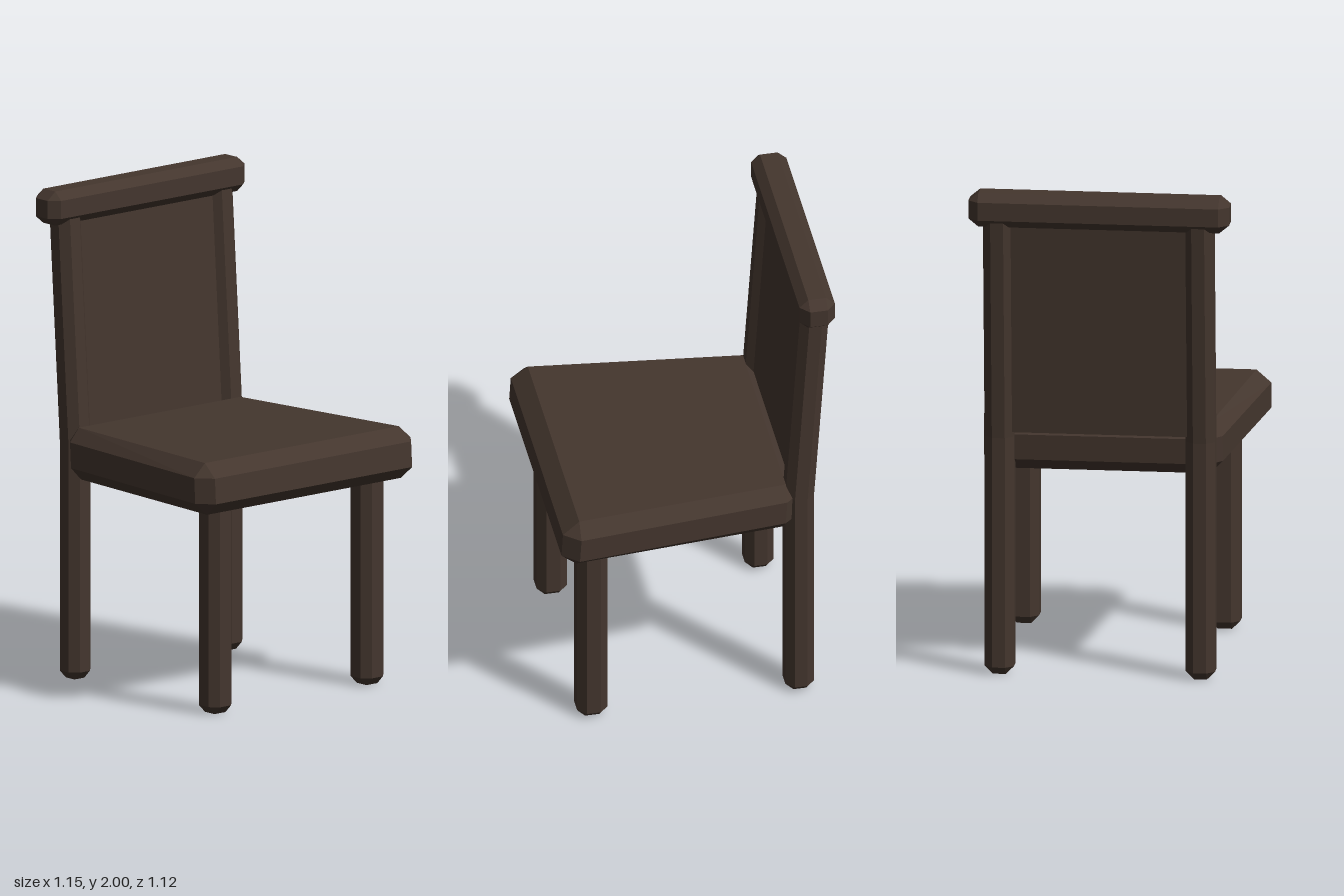
import * as THREE from 'three';
import { ConvexGeometry } from 'three/addons/geometries/ConvexGeometry.js';

const wood = new THREE.MeshStandardMaterial({ name: 'dark wood', color: 0x44362e });

const V = (x, y, z) => new THREE.Vector3(x, y, z);

// Flat-faced solid around a set of points
function solid(name, points) {
  const mesh = new THREE.Mesh(new ConvexGeometry(points), wood);
  mesh.name = name;
  return mesh;
}

// Corner points of a box with chamfered edges, centred on the origin
function chamferedBox(hx, hy, hz, cx, cy = cx, cz = cx) {
  const points = [];
  for (const x of [-1, 1]) for (const y of [-1, 1]) for (const z of [-1, 1]) {
    points.push(
      V(x * hx, y * (hy - cy), z * (hz - cz)),
      V(x * (hx - cx), y * hy, z * (hz - cz)),
      V(x * (hx - cx), y * (hy - cy), z * hz),
    );
  }
  return points;
}

// Octagonal leg section: a square of half size h with corners cut by c
function section(x, y, z, h, c) {
  const points = [];
  for (const a of [-1, 1]) for (const b of [-1, 1]) {
    points.push(V(x + a * h, y, z + b * (h - c)), V(x + a * (h - c), y, z + b * h));
  }
  return points;
}

// Leg bottom: small square foot widening to the full section
function foot(x, z, h, c) {
  const square = [];
  for (const a of [-1, 1]) for (const b of [-1, 1]) {
    square.push(V(x + a * (h - c), 0, z + b * (h - c)));
  }
  return [...square, ...section(x, c, z, h, c)];
}

export function createModel() {
  const chair = new THREE.Group();
  chair.name = 'chair';

  // Seat: chamfered slab, narrower and slightly lower at the back
  const seatPoints = chamferedBox(0.53, 0.105, 0.495, 0.055, 0.053, 0.065);
  for (const p of seatPoints) {
    const t = p.z;
    p.x *= 1 + 0.22 * (t - 0.43) / 1.05 + 0.088;
    p.z += 0.062 + p.y * -0.06;
    p.y += 0.938 + t * 0.012;
  }
  chair.add(solid('seat', seatPoints));

  const half = 0.062, cut = 0.033;
  const bendY = 0.98, topY = 1.89, backZ = -0.431, topZ = -0.492;
  for (const [side, x] of [['left', 0.409], ['right', -0.401]]) {
    // Front leg
    chair.add(solid(side + 'FrontLeg', [
      ...foot(x, 0.417, half, cut), ...section(x, 0.9, 0.417, half, cut),
    ]));

    // Back leg, straight to the seat and then leaning back
    const backLeg = new THREE.Group();
    backLeg.name = side + 'BackLeg';
    const bend = () => section(x, bendY, backZ, 0.059, cut);
    backLeg.add(
      solid(side + 'BackLegLower', [...foot(x, backZ, 0.059, cut), ...bend()]),
      solid(side + 'BackLegUpper', [...bend(), ...section(x, topY, topZ, 0.059, cut)]),
    );
    chair.add(backLeg);
  }

  // Leaning back panel between the back legs
  const panel = [];
  for (const x of [-0.39, 0.39]) for (const dz of [-0.032, 0.032]) {
    panel.push(V(x, 1.0, backZ - 0.002 + dz), V(x, topY, topZ + dz));
  }
  chair.add(solid('backPanel', panel));

  // Top rail
  const rail = solid('topRail', chamferedBox(0.525, 0.07, 0.072, 0.04, 0.033, 0.036));
  rail.position.set(0, 1.93, -0.492);
  chair.add(rail);

  return chair;
}
